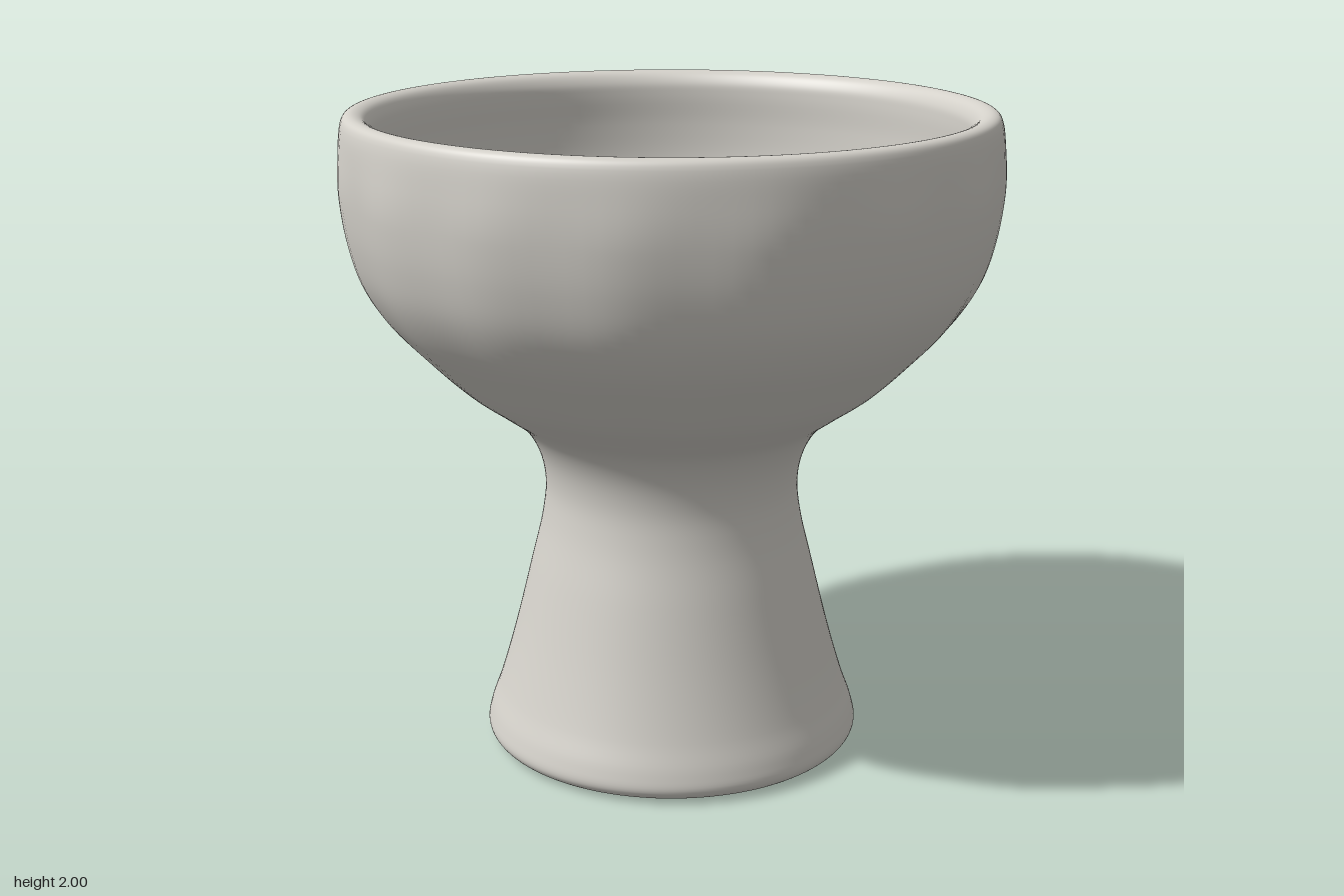
import * as THREE from 'three';
import { mergeVertices } from 'three/addons/utils/BufferGeometryUtils.js';

const STEPS = 6; // curve samples per profile span
const SIDES = 128;
const LOBES = 16;

// Foot, stem and outside of the bowl, from the base centre to the lip
const outer = [
  [0, 0], [0.3, 0], [0.52, 0.003], [0.57, 0.014], [0.59, 0.04], [0.582, 0.09],
  [0.55, 0.18], [0.5, 0.35], [0.445, 0.57], [0.405, 0.74], [0.395, 0.85],
  [0.415, 0.95], [0.465, 1.035], [0.55, 1.102], [0.65, 1.175], [0.763, 1.285],
  [0.866, 1.4], [0.931, 1.51], [0.967, 1.63], [0.985, 1.76], [0.988, 1.87],
  [0.98, 1.97], [0.968, 1.993], [0.945, 2],
];
// Lip, wall and rounded floor of the bowl, down to its centre
const inner = [
  [0.915, 1.99], [0.895, 1.96], [0.89, 1.92], [0.891, 1.82], [0.88, 1.69],
  [0.845, 1.58], [0.77, 1.465], [0.65, 1.37], [0.45, 1.28], [0.22, 1.23], [0, 1.215],
];

function gobletGeometry() {
  const points = [...outer, ...inner].map(([r, y]) => new THREE.Vector3(r, y, 0));
  const curve = new THREE.CatmullRomCurve3(points, false, 'centripetal');
  const profile = curve.getPoints((points.length - 1) * STEPS)
    .map((p) => new THREE.Vector2(Math.max(p.x, 0), Math.max(p.y, 0)));
  const geometry = new THREE.LatheGeometry(profile, SIDES);
  const pos = geometry.attributes.position;
  const lastOuter = (outer.length - 1) * STEPS;

  // Soft facets around the outside of the bowl, fading at stem and lip
  for (let i = 0; i < pos.count; i++) {
    if (i % profile.length > lastOuter) continue;
    const x = pos.getX(i), y = pos.getY(i), z = pos.getZ(i);
    const fade = THREE.MathUtils.smoothstep(y, 1.0, 1.4)
      * (1 - THREE.MathUtils.smoothstep(y, 1.75, 1.98));
    const k = 1 + 0.005 * fade * (1 - Math.cos(LOBES * Math.atan2(x, z)));
    pos.setXYZ(i, x * k, y, z * k);
  }

  // Weld the seam and poles so the surface shades smoothly
  geometry.deleteAttribute('uv');
  geometry.deleteAttribute('normal');
  const welded = mergeVertices(geometry, 1e-5);
  welded.computeVertexNormals();
  return welded;
}

export function createModel() {
  const group = new THREE.Group();
  group.name = 'footedBowl';
  const stoneware = new THREE.MeshStandardMaterial({ color: 0xd4d1ca });
  stoneware.name = 'pale stoneware';

  const goblet = new THREE.Mesh(gobletGeometry(), stoneware);
  goblet.name = 'bowlAndStem';
  group.add(goblet);
  return group;
}
